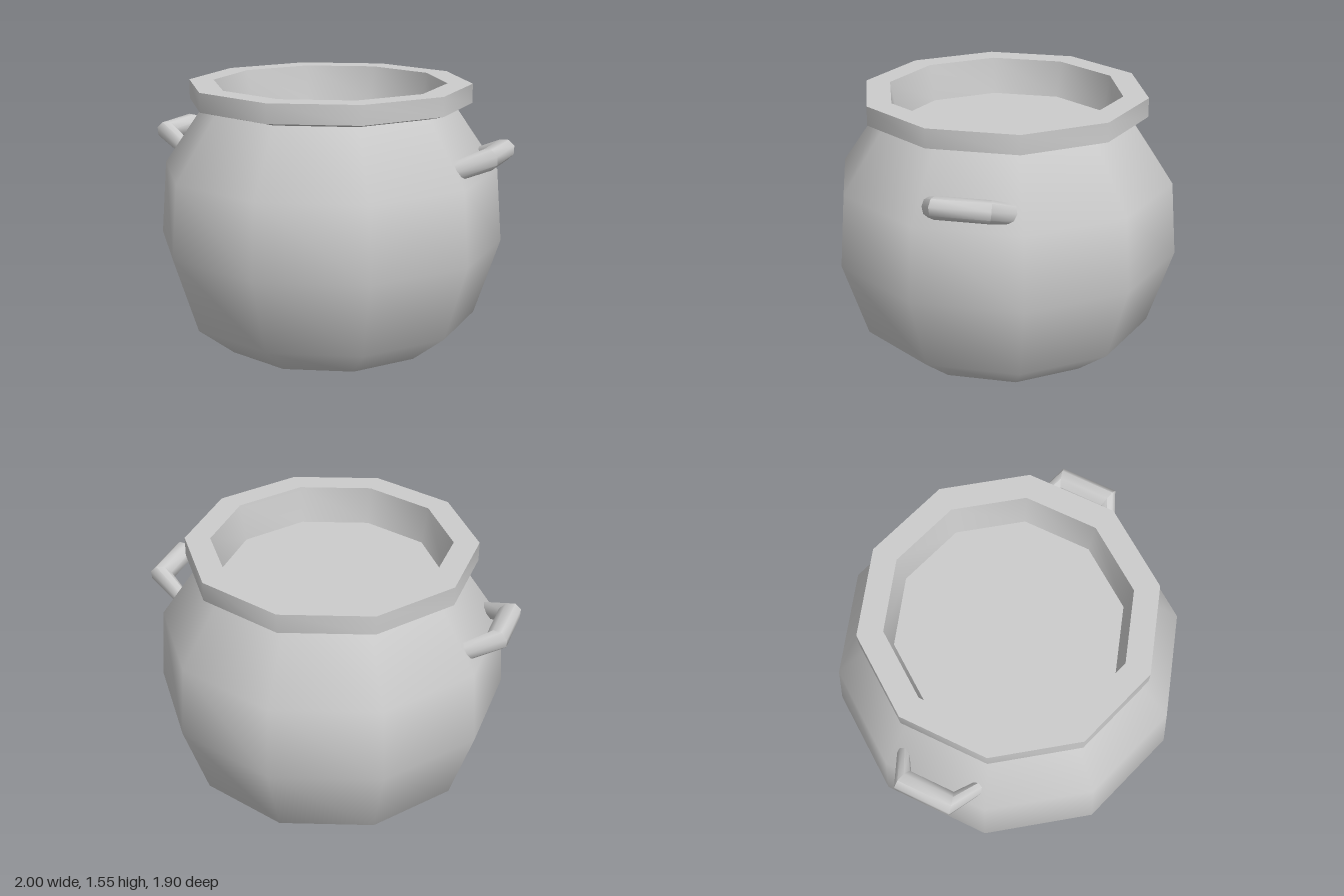
import * as THREE from 'three';
import { toCreasedNormals } from 'three/addons/utils/BufferGeometryUtils.js';

const SIDES = 10;
const material = new THREE.MeshStandardMaterial({ color: 0xcccccc });

function lathe(profile) {
  return new THREE.LatheGeometry(profile.map(([r, y]) => new THREE.Vector2(r, y)), SIDES);
}

function addMesh(parent, name, geometry) {
  const mesh = new THREE.Mesh(geometry, material);
  mesh.name = name;
  parent.add(mesh);
  return mesh;
}

// Eight-sided bent bar, skinned through four cross-sections from -z to +z
function handleGeometry() {
  const N = 8, tilt = 0.39;
  const out = new THREE.Vector3(Math.cos(tilt), Math.sin(tilt), 0);
  const up = new THREE.Vector3(-Math.sin(tilt), Math.cos(tilt), 0);
  // centre, half width along "out", half width along z, half height along "up"
  const sections = [
    { c: [0.79, 1.168, -0.218], o: 0.005, z: -0.032, h: 0.05 },
    { c: [0.943, 1.23, -0.137], o: 0.06, z: -0.018, h: 0.058 },
    { c: [0.943, 1.23, 0.137], o: 0.06, z: 0.018, h: 0.058 },
    { c: [0.79, 1.168, 0.218], o: 0.005, z: 0.032, h: 0.05 },
  ];
  const positions = [], index = [];
  for (const s of sections) {
    for (let i = 0; i < N; i++) {
      const a = (i / N) * Math.PI * 2;
      const p = new THREE.Vector3(...s.c)
        .addScaledVector(out, s.o * Math.cos(a))
        .addScaledVector(up, s.h * Math.sin(a));
      p.z += s.z * Math.cos(a);
      positions.push(p.x, p.y, p.z);
    }
  }
  for (let k = 0; k < sections.length - 1; k++) {
    for (let i = 0; i < N; i++) {
      const a = k * N + i, b = k * N + ((i + 1) % N);
      index.push(a, b, b + N, a, b + N, a + N);
    }
  }
  // end caps
  const last = (sections.length - 1) * N;
  for (let i = 1; i < N - 1; i++) {
    index.push(0, i + 1, i, last, last + i, last + i + 1);
  }
  const geometry = new THREE.BufferGeometry();
  geometry.setAttribute('position', new THREE.Float32BufferAttribute(positions, 3));
  geometry.setIndex(index);
  return toCreasedNormals(geometry, 0.85);
}

export function createModel() {
  const pot = new THREE.Group();
  pot.name = 'pot';

  // Rounded belly, smooth shaded
  addMesh(pot, 'body', lathe([
    [0, 0], [0.3, 0], [0.605, 0.11], [0.81, 0.27],
    [0.948, 0.69], [0.917, 1.09], [0.685, 1.43],
  ]));

  // Thick collar with its inner wall
  addMesh(pot, 'rim', toCreasedNormals(lathe([
    [0.685, 1.43], [0.772, 1.452], [0.772, 1.555], [0.637, 1.555], [0.6, 1.355],
  ]), 0.7));

  // Flat surface of the contents
  const contents = addMesh(pot, 'contents', new THREE.CircleGeometry(0.6, SIDES, Math.PI / 2));
  contents.rotation.x = -Math.PI / 2;
  contents.position.y = 1.355;

  // Pair of side handles
  const handle = handleGeometry();
  addMesh(pot, 'leftHandle', handle);
  addMesh(pot, 'rightHandle', handle).rotation.y = Math.PI;

  return pot;
}
